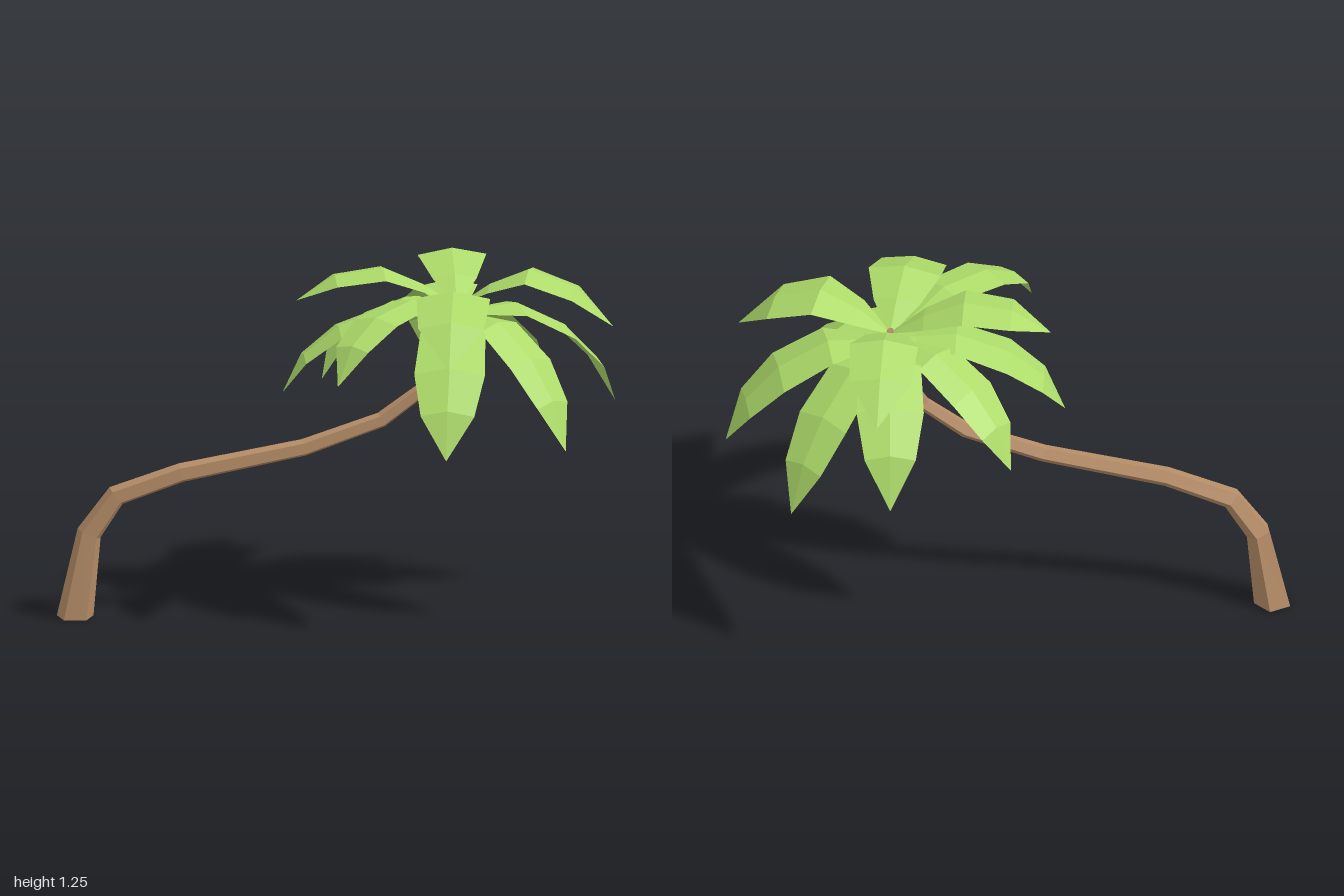
import * as THREE from 'three';

const mat = (name, color, extra = {}) =>
  Object.assign(new THREE.MeshStandardMaterial({ color, flatShading: true, ...extra }), { name });

// Skin a list of rings (arrays of Vector3) with quads, flat shaded.
function loft(rings, closed) {
  const pos = [];
  const tri = (...v) => v.forEach(p => pos.push(p.x, p.y, p.z));
  const n = rings[0].length;
  for (let i = 0; i < rings.length - 1; i++) {
    for (let j = 0; j < (closed ? n : n - 1); j++) {
      const k = (j + 1) % n;
      const a = rings[i][j], b = rings[i][k], c = rings[i + 1][k], d = rings[i + 1][j];
      tri(a, c, b);
      tri(a, d, c);
    }
  }
  if (closed) {
    const first = rings[0], last = rings[rings.length - 1];
    for (let j = 1; j < n - 1; j++) {
      tri(first[0], first[j], first[j + 1]);
      tri(last[0], last[j + 1], last[j]);
    }
  }
  const g = new THREE.BufferGeometry();
  g.setAttribute('position', new THREE.Float32BufferAttribute(pos, 3));
  g.computeVertexNormals();
  return g;
}

// Five-sided trunk swept along a bent path: x, y, z, radius.
function trunkGeometry() {
  const path = [
    [-0.935, 0, 0.03, 0.068], [-0.885, 0.30, 0.026, 0.046], [-0.79, 0.435, 0.031, 0.04],
    [-0.56, 0.515, 0.037, 0.036], [-0.125, 0.597, 0.036, 0.032], [0.15, 0.69, 0.029, 0.029],
    [0.30, 0.80, 0.027, 0.026], [0.38, 0.93, 0.028, 0.021], [0.418, 1.11, 0.027, 0.014],
  ];
  const dir = (a, b) => new THREE.Vector2(b[0] - a[0], b[1] - a[1]).normalize();
  const rings = path.map(([x, y, z, r], i) => {
    const t = new THREE.Vector2();
    if (i > 0) t.add(dir(path[i - 1], path[i]));
    if (i < path.length - 1) t.add(dir(path[i], path[i + 1]));
    t.normalize();
    if (i === 0) t.set(0, 1);
    return Array.from({ length: 5 }, (_, k) => {
      const a = (k * 72 - 13) * Math.PI / 180;
      const u = r * Math.cos(a);
      return new THREE.Vector3(x + u * t.y, y - u * t.x, z + r * Math.sin(a));
    });
  });
  return loft(rings, true);
}

// Frond profiles: fraction of length, arch height, half width
const DROOPING = [[0, 0, 0.006], [0.15, 0.055, 0.06], [0.38, 0.15, 0.115], [0.68, 0.17, 0.125], [0.88, 0.12, 0.095], [1, 0, 0.001]];
const SPREADING = [[0, 0, 0.006], [0.21, 0.09, 0.08], [0.46, 0.16, 0.125], [0.76, 0.118, 0.112], [1, 0, 0.001]];

// Arched leaf with a central ridge, from the crown to a pointed tip.
function frondGeometry(root, tip, profile, archScale, widthScale) {
  const side = new THREE.Vector3(-(tip.z - root.z), 0, tip.x - root.x).normalize();
  const rings = profile.map(([t, arch, halfWidth]) => {
    const w = halfWidth * widthScale;
    const mid = root.clone().lerp(tip, t);
    mid.y += arch * archScale;
    const edge = s => {
      const p = mid.clone().addScaledVector(side, s * w);
      p.y -= w * 0.2;
      return p;
    };
    return [edge(1), mid, edge(-1)];
  });
  return loft(rings, false);
}

export function createModel() {
  const model = new THREE.Group();
  model.name = 'palmTree';
  const bark = mat('bark', 0xb68d67);
  const leaf = mat('leaf', 0xaddb69, { side: THREE.DoubleSide });
  const shell = mat('coconutShell', 0xa67c68);

  const add = (name, geometry, material) => {
    const m = new THREE.Mesh(geometry, material);
    m.name = name;
    model.add(m);
    return m;
  };

  add('trunk', trunkGeometry(), bark);

  // Fronds: tip x, y, z, arch scale, width scale
  const lower = [
    [0.99, 0.71, -0.11, 1, 1], [0.74, 0.61, -0.41, 1, 0.85], [0.77, 0.65, 0.38, 1, 0.85],
    [0.33, 0.67, 0.565, 0.95, 1], [-0.05, 0.94, 0.53, 0.95, 0.75], [-0.03, 0.76, -0.31, 0.95, 0.8],
    [-0.2, 0.8, 0.03, 0.85, 0.88], [0.38, 0.75, -0.57, 1.2, 0.95],
  ];
  const upper = [
    [0.96, 1.04, 0.14, 1.04, 1], [0.34, 1.0, 0.575, 1, 1.04],
    [-0.15, 1.13, 0.02, 0.8, 0.88], [0.43, 1.07, -0.525, 1, 0.97],
  ];
  const crown = (fronds, y, profile, name) => fronds.forEach(([tx, ty, tz, arch, width], i) =>
    add(name + (i + 1), frondGeometry(new THREE.Vector3(0.418, y, 0.023),
      new THREE.Vector3(tx, ty, tz), profile, arch, width), leaf));
  crown(lower, 1.085, DROOPING, 'lowerFrond');
  crown(upper, 1.1, SPREADING, 'upperFrond');

  // Coconuts hanging under the crown
  [[0.475, 1.015, 0.085], [0.365, 1.03, 0.06], [0.445, 1.02, -0.035]].forEach((p, i) => {
    const nut = add('coconut' + (i + 1), new THREE.IcosahedronGeometry(0.05, 0), shell);
    nut.position.set(...p);
    nut.rotation.set(i, i * 1.3, 0.4);
  });

  return model;
}
